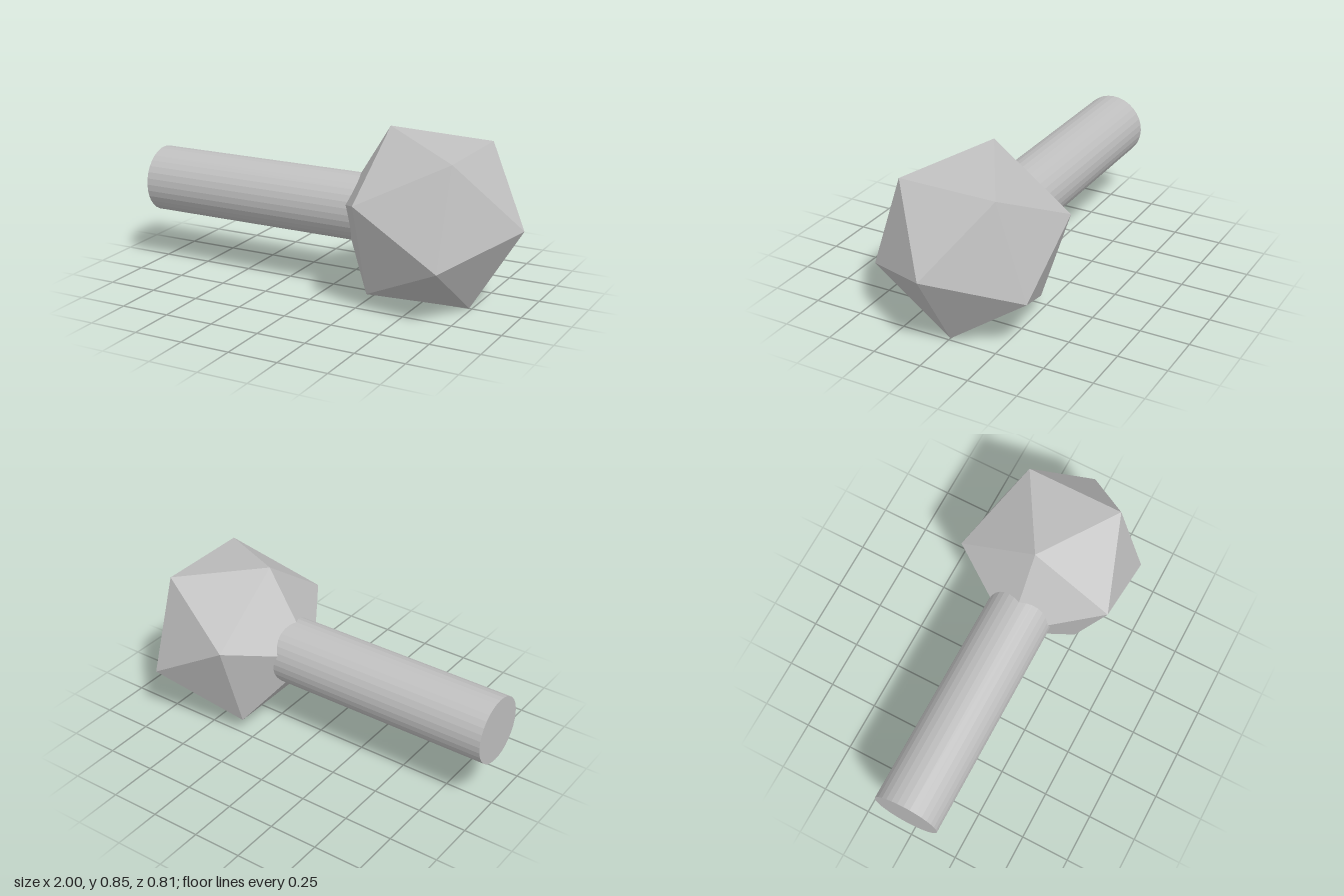
import * as THREE from 'three';

export function createModel() {
  const group = new THREE.Group();
  const grey = new THREE.MeshStandardMaterial({ color: 0xbfbfbf, flatShading: true });
  grey.name = 'grey';

  const radius = 0.4775;
  const axisY = 0.428;

  // Head: icosahedron turned so that one corner points along +x
  const golden = (1 + Math.sqrt(5)) / 2;
  const headGeometry = new THREE.IcosahedronGeometry(radius, 0);
  headGeometry.rotateZ(-Math.atan2(golden, -1));
  const head = new THREE.Mesh(headGeometry, grey);
  head.name = 'head';
  head.position.set(1 - radius, axisY, 0);
  group.add(head);

  // Handle: round bar running from the far end into the head
  const start = -1, end = 0.4;
  const handleGeometry = new THREE.CylinderGeometry(0.168, 0.168, end - start, 32);
  handleGeometry.rotateZ(-Math.PI / 2);
  const handle = new THREE.Mesh(handleGeometry, grey);
  handle.name = 'handle';
  handle.position.set((start + end) / 2, axisY + 0.002, 0);
  group.add(handle);

  return group;
}
